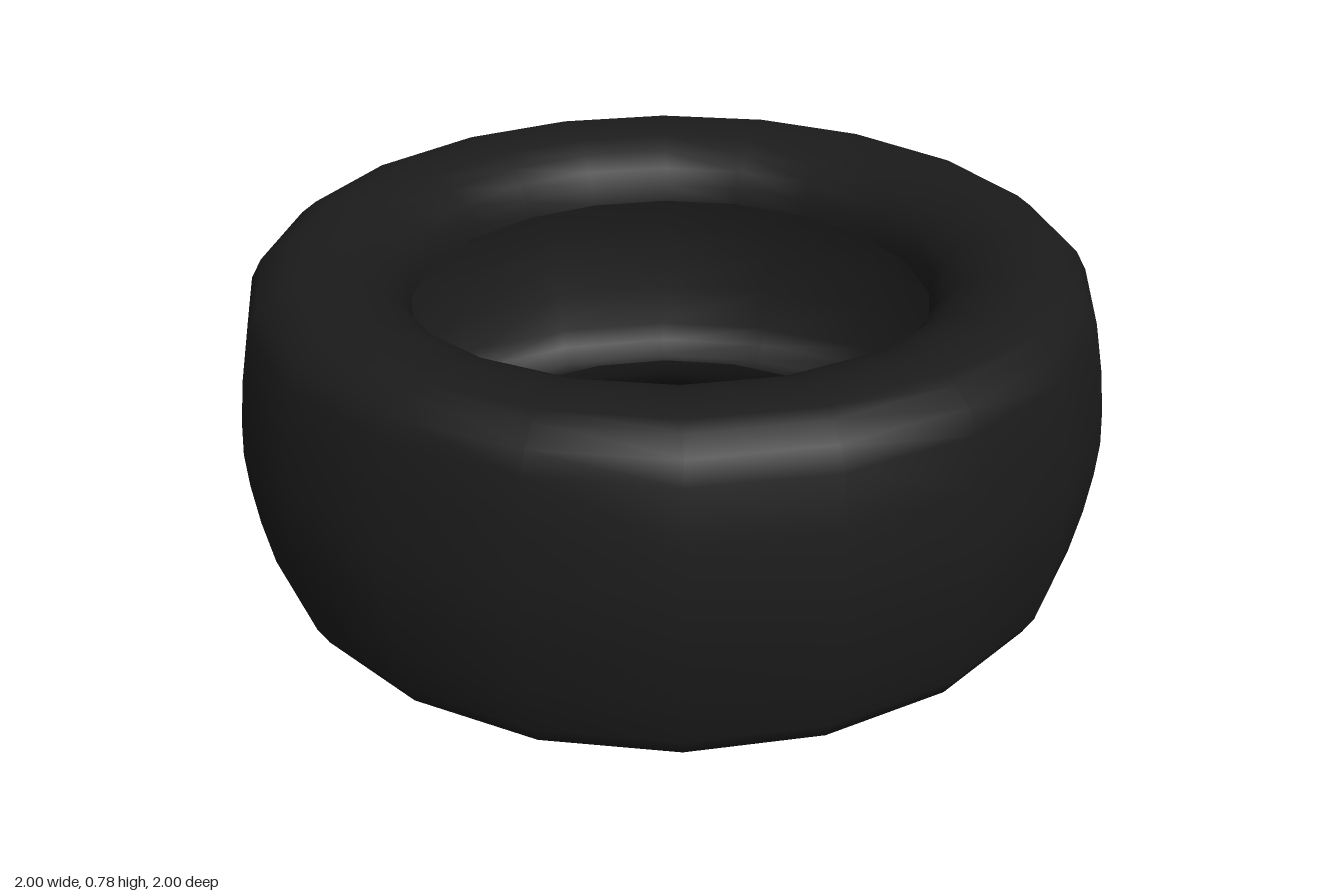
import * as THREE from 'three';

const SEGMENTS = 20;
const MID = 0.388; // half the tyre width

// Upper half of the casing, from the tread centre to the lip: [radius, height above the middle]
const HALF = [
  [1, 0], [0.995, 0.08], [0.982, 0.18], [0.96, 0.29], [0.935, 0.335], [0.895, 0.367],
  [0.865, 0.38], [0.82, 0.388], [0.77, 0.386], [0.72, 0.374], [0.67, 0.349],
  [0.63, 0.315], [0.608, 0.275], [0.6, 0.235],
];

export function createModel() {
  const group = new THREE.Group();
  group.name = 'tyre';

  // Mirror the half profile into a full one, from the bottom lip to the top lip
  const lower = HALF.slice(1).reverse().map(([r, d]) => [r, -d]);
  const profile = [...lower, ...HALF].map(([r, d]) => new THREE.Vector2(r, MID + d));

  // Thin hollow shell: tread, rounded shoulders, sidewalls and rolled open lips
  const casing = new THREE.Mesh(
    new THREE.LatheGeometry(profile, SEGMENTS),
    new THREE.MeshStandardMaterial({ color: 0x1b1b1b, side: THREE.DoubleSide }),
  );
  casing.name = 'casing';
  group.add(casing);

  return group;
}
